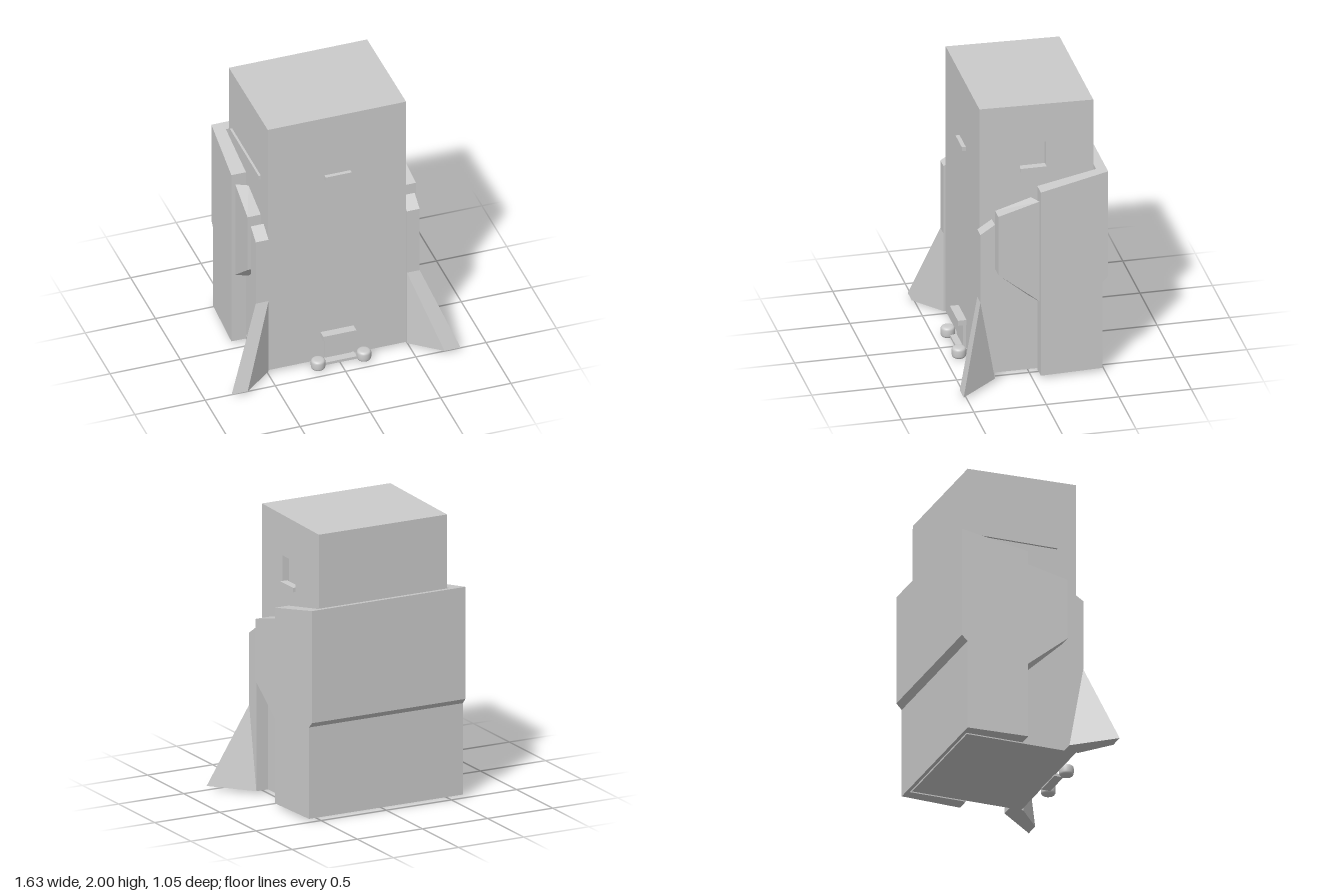
import * as THREE from 'three';
import { ConvexGeometry } from 'three/addons/geometries/ConvexGeometry.js';

const material = new THREE.MeshStandardMaterial({ color: 0xcccccc, flatShading: true });
const smooth = new THREE.MeshStandardMaterial({ color: 0xcccccc });
const CX = -0.005; // symmetry plane of the side armour

// Extrude a [z, y] outline along x, from x0 to x1
function profileX(points, x0, x1, hole) {
  const toVec = ([z, y]) => new THREE.Vector2(-z, y);
  const shape = new THREE.Shape(points.map(toVec));
  if (hole) shape.holes.push(new THREE.Path(hole.map(toVec)));
  const geo = new THREE.ExtrudeGeometry(shape, { depth: x1 - x0, bevelEnabled: false });
  return geo.rotateY(Math.PI / 2).translate(x0, 0, 0);
}

// Side slab: inner face at x = inner, outer face follows outer(z); backShift moves the inner rear edge forward
function sideSlab(side, points, inner, outer, backShift = 0) {
  const geo = profileX(points, 0, 1);
  const p = geo.attributes.position;
  for (let i = 0; i < p.count; i++) {
    const z = p.getZ(i);
    const isOuter = (p.getX(i) > 0.5) === (side > 0);
    p.setX(i, CX + side * (isOuter ? outer(z) : inner));
    if (!isOuter && z < 0) p.setZ(i, z + backShift);
  }
  geo.computeVertexNormals();
  return geo;
}

export function createModel() {
  const model = new THREE.Group();
  const add = (name, geo, mat = material, parent = model) => {
    const mesh = new THREE.Mesh(geo, mat);
    mesh.name = name;
    parent.add(mesh);
    return mesh;
  };
  const box = (name, x0, x1, y0, y1, z0, z1) =>
    add(name, new THREE.BoxGeometry(x1 - x0, y1 - y0, z1 - z0))
      .position.set((x0 + x1) / 2, (y0 + y1) / 2, (z0 + z1) / 2);

  // Tower: core plus a left wall with a window recess
  const tower = [[0.34, 0.02], [-0.45, 0.02], [-0.445, 1.985], [0.34, 2]];
  const opening = [[0.06, 1.5], [0.06, 1.71], [-0.12, 1.71], [-0.12, 1.5]];
  add('towerCore', profileX(tower, -0.497, 0.435));
  add('towerLeftWall', profileX(tower, 0.435, 0.487, opening));

  // Window sills
  box('leftSill', 0.45, 0.503, 1.5, 1.53, -0.12, 0.06);
  box('rightSill', -0.513, -0.49, 1.5, 1.53, -0.38, 0.2);
  box('frontSill', -0.095, 0.09, 1.5, 1.53, 0.335, 0.368);

  // Rear shell: back wall between two side walls
  add('shellBack', profileX([
    [-0.46, 0.02], [-0.485, 0.02], [-0.485, 0.66], [-0.525, 0.7], [-0.525, 1.485], [-0.46, 1.472],
  ], CX - 0.515, CX + 0.515));

  for (const side of [1, -1]) {
    const flank = new THREE.Group();
    flank.name = side > 0 ? 'leftFlank' : 'rightFlank';
    model.add(flank);

    add('shellSide', sideSlab(side, [
      [-0.055, 0.02], [-0.485, 0.02], [-0.485, 0.66], [-0.525, 0.7], [-0.525, 1.485], [-0.055, 1.39],
    ], 0.508, (z) => 0.612 + (z + 0.055) * 0.05), material, flank);

    add('middlePanel', sideSlab(side, [
      [0.235, 0.8], [-0.052, 0.565], [-0.052, 1.31], [0.235, 1.235],
    ], 0.505, (z) => 0.585 + (z + 0.052) * 0.05, 0.04), material, flank);

    add('frontPost', sideSlab(side, [
      [0.355, 0.02], [0.255, 0.02], [0.255, 1.17], [0.355, 1.105],
    ], 0.492, () => 0.583), material, flank);

    // Splayed foot buttress
    add('buttress', new ConvexGeometry([
      [0.492, 0.6, 0.355], [0.583, 0.6, 0.355],
      [0.492, 0.02, 0.355], [0.583, 0.02, 0.255],
      [0.7, 0.02, 0.525], [0.815, 0.02, 0.525],
    ].map(([x, y, z]) => new THREE.Vector3(CX + side * x, y, z))), material, flank);
  }

  // Doorway with lintel and step
  box('door', -0.095, 0.09, 0.04, 0.21, 0.33, 0.358);
  box('lintel', -0.122, 0.113, 0.208, 0.245, 0.335, 0.4);
  box('doorStep', -0.12, 0.115, 0.01, 0.03, 0.335, 0.4);

  // Rounded bushes beside the door
  const bush = [];
  for (let i = 0; i <= 14; i++) {
    const a = -Math.PI / 2 + (Math.PI * i) / 14;
    const c = Math.max(0, Math.cos(a)), s = Math.sin(a);
    bush.push(new THREE.Vector2(0.05 * Math.sqrt(c), 0.04 * Math.sign(s) * Math.sqrt(Math.abs(s))));
  }
  for (const x of [-0.162, 0.164]) {
    add('bush', new THREE.LatheGeometry(bush, 28), smooth).position.set(x, 0.04, 0.405);
  }
  return model;
}
